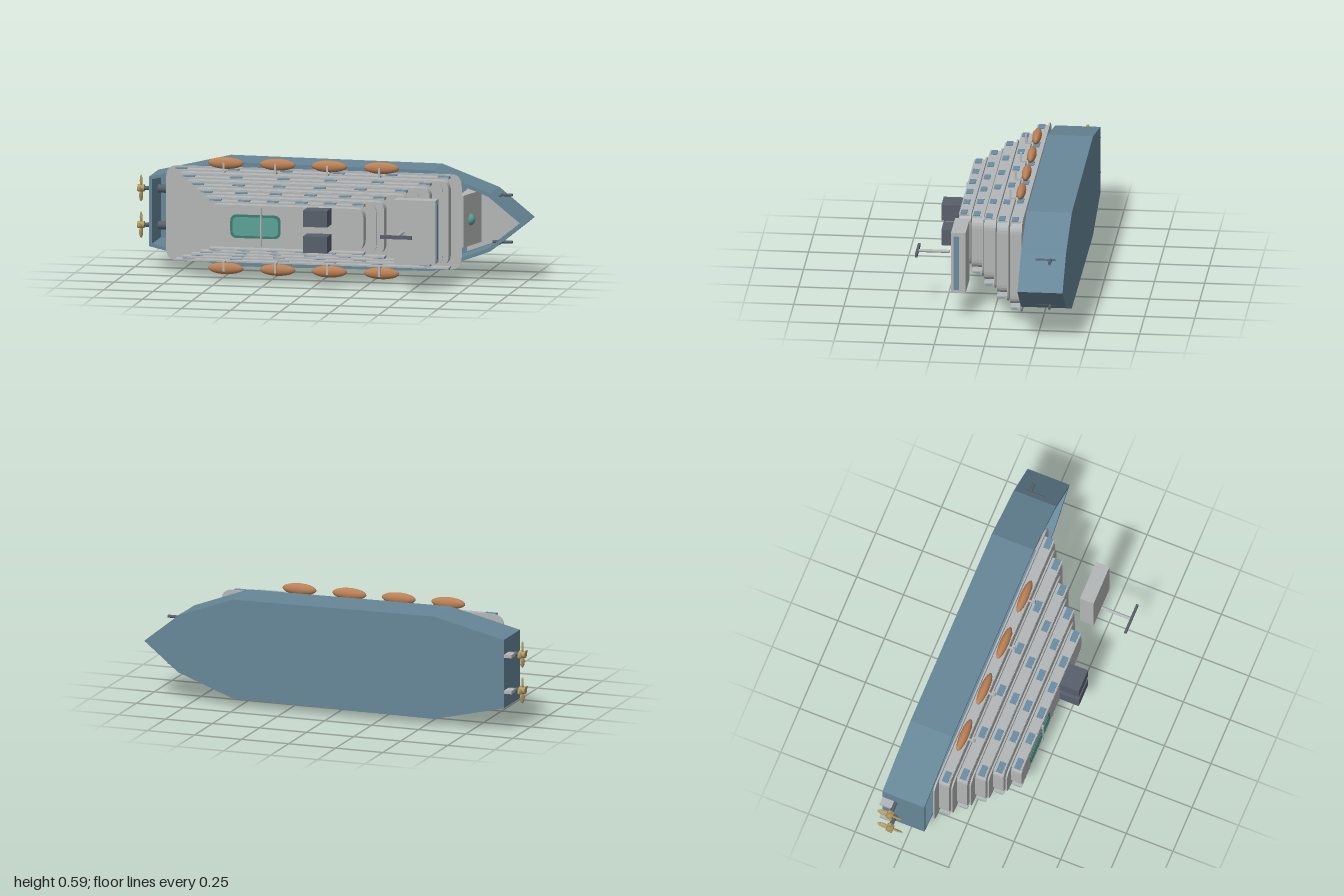
import * as THREE from 'three';

const CY = 0.295; // centreline height; the ship lies with its decks facing +z

const mat = (name, color) => Object.assign(new THREE.MeshStandardMaterial({ color }), { name });

export function createModel() {
  const ship = new THREE.Group();
  ship.name = 'ship';
  const hullBlue = mat('hullBlue', 0x678798);
  const grey = mat('superstructureGrey', 0xb4b7b7);
  const glass = mat('windowBlue', 0x6a8da4);
  const slate = mat('slate', 0x59606c);
  const teal = mat('poolTeal', 0x5aa295);
  const tealDark = mat('poolRimTeal', 0x3f7d72);
  const wood = mat('lifeboatBrown', 0xbb8055);
  const brass = mat('propellerBrass', 0xb59c62);

  const add = (name, geo, material, x = 0, y = 0, z = 0) => {
    const m = new THREE.Mesh(geo, material);
    m.name = name;
    m.position.set(x, y, z);
    ship.add(m);
    return m;
  };
  // box from its two extreme corners
  const box = (name, material, x0, x1, y0, y1, z0, z1) =>
    add(name, new THREE.BoxGeometry(x1 - x0, y1 - y0, z1 - z0), material,
      (x0 + x1) / 2, (y0 + y1) / 2, (z0 + z1) / 2);
  const extrude = (shape, depth) =>
    new THREE.ExtrudeGeometry(shape, { depth, bevelEnabled: false, curveSegments: 6 });
  // mirrored outline from [x, half width] points
  const outline = (pts) => new THREE.Shape([
    ...pts.map(([x, h]) => new THREE.Vector2(x, CY - h)),
    ...pts.filter(([, h]) => h > 0).reverse().map(([x, h]) => new THREE.Vector2(x, CY + h)),
  ]);
  const roundRect = (x0, x1, h, r) => {
    const s = new THREE.Shape();
    const y0 = CY - h, y1 = CY + h;
    s.moveTo(x0 + r, y0).lineTo(x1 - r, y0).quadraticCurveTo(x1, y0, x1, y0 + r);
    s.lineTo(x1, y1 - r).quadraticCurveTo(x1, y1, x1 - r, y1);
    s.lineTo(x0 + r, y1).quadraticCurveTo(x0, y1, x0, y1 - r);
    s.lineTo(x0, y0 + r).quadraticCurveTo(x0, y0, x0 + r, y0);
    return s;
  };
  const rod = (name, material, r, len, axis, x, y, z) => {
    const g = new THREE.CylinderGeometry(r, r, len, 12);
    if (axis === 'x') g.rotateZ(Math.PI / 2);
    if (axis === 'z') g.rotateX(Math.PI / 2);
    return add(name, g, material, x, y, z);
  };

  // Open hull: wall ring over a bottom plate
  const outer = [[-0.91, 0.175], [-0.54, 0.262], [0.53, 0.253], [0.82, 0.145], [1, 0]];
  const inner = [[-0.895, 0.162], [-0.54, 0.246], [0.526, 0.237], [0.81, 0.13], [0.972, 0]];
  const ring = outline(outer);
  ring.holes.push(outline(inner));
  add('hullWall', extrude(ring, 0.215), hullBlue, 0, 0, -0.38);
  add('hullBottom', extrude(outline(outer), 0.01), hullBlue, 0, 0, -0.39);

  // Bow deck, sloping bulkhead and its round window
  add('bowDeck', extrude(outline([[0.66, 0.18], [0.81, 0.126], [0.967, 0]]), 0.01), grey, 0, 0, -0.375);
  const slope = new THREE.Shape([[0.66, -0.165], [0.66, -0.37], [0.735, -0.37], [0.685, -0.165]]
    .map(([x, z]) => new THREE.Vector2(x, -z)));
  const slopeGeo = extrude(slope, 0.26);
  slopeGeo.rotateX(-Math.PI / 2);
  add('bowBulkhead', slopeGeo, grey, 0, CY - 0.13, 0);
  add('bulkheadWindow', new THREE.SphereGeometry(0.032, 16, 12), teal, 0.695, CY, -0.25);

  // Five stacked tiers: base plate, body, side panels and windows
  const tiers = [
    [-0.155, -0.82, 0.68], [-0.081, -0.765, 0.6], [-0.007, -0.705, 0.495],
    [0.064, -0.645, 0.4], [0.137, -0.585, 0.31],
  ];
  tiers.forEach(([z, p0, p1], i) => {
    const half = 0.239 - i * 0.0268;
    const x0 = p0 + 0.055, x1 = p1 - 0.055;
    add('deckPlate', extrude(roundRect(p0, p1, half, 0.06), 0.008), grey, 0, 0, z);
    add('tierBody', extrude(roundRect(x0, x1, half - 0.026, 0.05), 0.056), grey, 0, 0, z + 0.008);
    for (const s of [1, -1]) {
      const yp = CY + s * (half - 0.0135);
      box('sidePanel', grey, x0, x1, yp - 0.004, yp + 0.004, z + 0.01, z + 0.064);
      for (let k = 0; k < 6; k++) {
        const x = x0 + 0.029 + (k / 5) * (x1 - x0 - 0.058);
        const yw = CY + s * (half - 0.008);
        box('sideWindow', glass, x - 0.029, x + 0.029, yw - 0.003, yw + 0.003, z + 0.024, z + 0.056);
      }
    }
  });

  // Pool with rim and crossing bar
  add('poolRim', extrude(roundRect(-0.42, -0.165, 0.059, 0.035), 0.005), tealDark, 0, 0, 0.2);
  add('poolWater', extrude(roundRect(-0.408, -0.177, 0.047, 0.028), 0.003), teal, 0, 0, 0.204);
  box('poolBar', grey, -0.267, -0.259, CY - 0.1, CY + 0.1, 0.2, 0.212);

  // Bridge with front window, funnels and mast
  box('bridge', grey, 0.41, 0.62, 0.136, 0.454, 0.131, 0.204);
  box('bridgeWindow', glass, 0.618, 0.626, 0.155, 0.436, 0.164, 0.191);
  for (const s of [1, -1])
    box('funnel', slate, -0.03, 0.092, CY + s * 0.065 - 0.041, CY + s * 0.065 + 0.041, 0.201, 0.304);
  rod('mast', grey, 0.008, 0.16, 'z', 0.46, CY, 0.306);
  box('mastCrossbar', slate, 0.38, 0.54, CY - 0.009, CY + 0.009, 0.38, 0.392);

  for (const s of [1, -1]) {
    // Lifeboats on L-shaped davits
    for (const x of [-0.51, -0.247, 0.015, 0.28]) {
      add('lifeboat', new THREE.SphereGeometry(1, 20, 14), wood, x, CY + s * 0.2645, -0.114)
        .scale.set(0.09, 0.0295, 0.0225);
      const arm = CY + s * 0.227, post = CY + s * 0.251;
      box('davitArm', grey, x - 0.005, x + 0.005, arm - 0.004, arm + 0.004, -0.132, -0.055);
      box('davitPost', grey, x - 0.005, x + 0.005, post - 0.022, post + 0.022, -0.065, -0.055);
    }

    // Anchors at the bow
    const ya = CY + s * 0.118;
    rod('anchorShank', slate, 0.006, 0.1, 'z', 0.85, ya, -0.29);
    rod('anchorStock', slate, 0.008, 0.1, 'x', 0.852, ya, -0.315);

    // Propeller shafts, propellers and rudders at the stern
    const yp = CY + s * 0.092;
    rod('shaftHousing', slate, 0.021, 0.09, 'x', -0.862, yp, -0.32);
    rod('shaft', slate, 0.011, 0.1, 'x', -0.93, yp, -0.32);
    rod('propellerHub', brass, 0.018, 0.034, 'x', -0.983, yp, -0.32);
    for (let k = 0; k < 4; k++) {
      const g = new THREE.SphereGeometry(1, 10, 8);
      g.scale(0.006, 0.031, 0.014);
      g.rotateY(0.5);
      g.translate(0, 0.036, 0);
      g.rotateX(k * Math.PI / 2);
      add('propellerBlade', g, brass, -0.983, yp, -0.32);
    }
    box('rudder', grey, -0.95, -0.905, yp - 0.008, yp + 0.008, -0.388, -0.325);
  }

  return ship;
}
